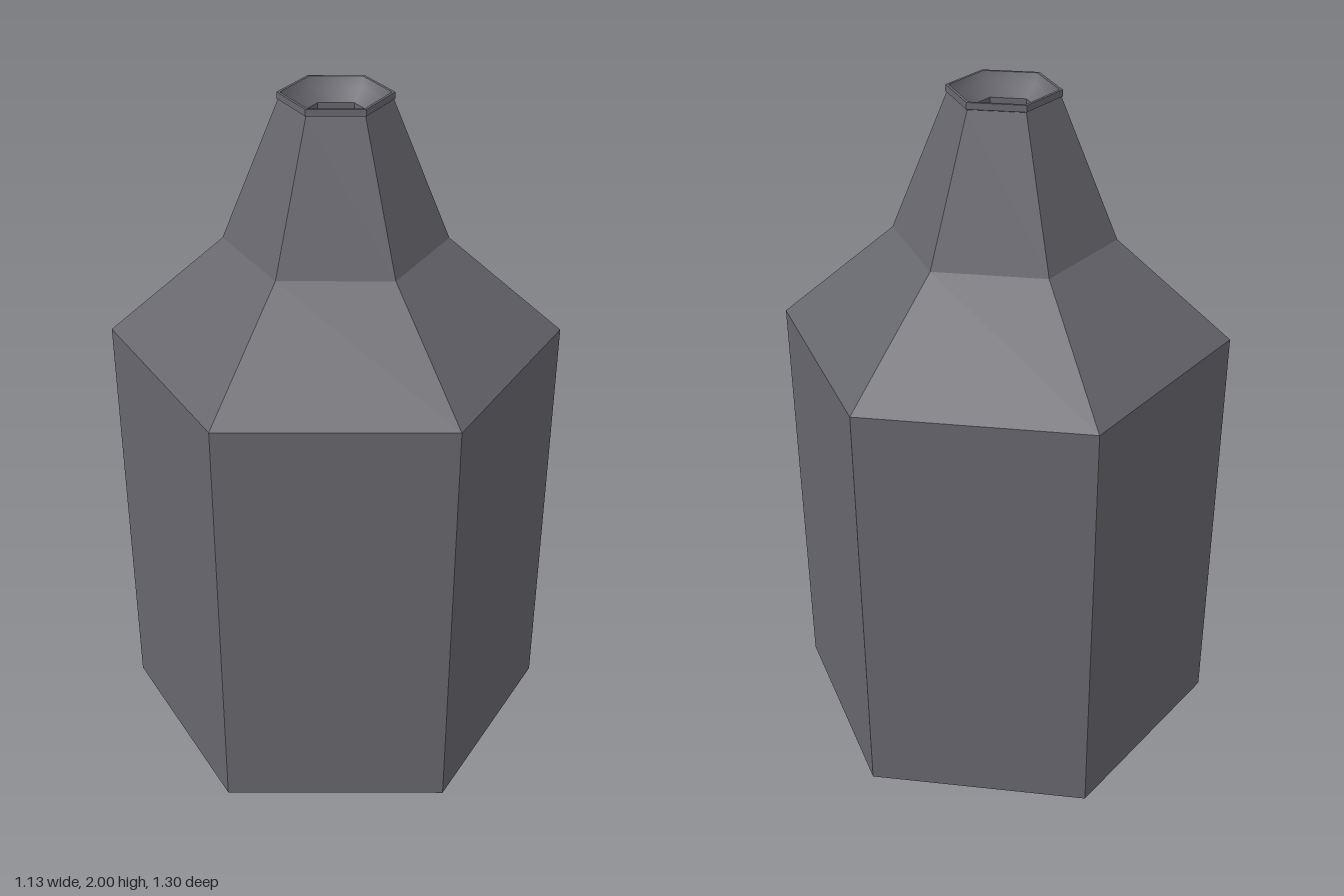
import * as THREE from 'three';
import { toCreasedNormals } from 'three/addons/utils/BufferGeometryUtils.js';

const SIDES = 6;

export function createModel() {
  const model = new THREE.Group();
  model.name = 'bottle';

  const darkGrey = new THREE.MeshStandardMaterial({ color: 0x66666d });
  darkGrey.name = 'darkGrey';

  // Six-sided ring from [radius, height] points; faceted or smooth
  function addRing(name, points, faceted = true) {
    const profile = points.map(([r, y]) => new THREE.Vector2(r, y));
    let geometry = new THREE.LatheGeometry(profile, SIDES);
    if (faceted) geometry = toCreasedNormals(geometry, 0.1);
    const mesh = new THREE.Mesh(geometry, darkGrey);
    mesh.name = name;
    model.add(mesh);
  }

  // Flat hexagonal disc facing up or down
  function addDisc(name, radius, y, up) {
    const geometry = new THREE.CircleGeometry(radius, SIDES, Math.PI / 2);
    geometry.rotateX(up ? -Math.PI / 2 : Math.PI / 2);
    const mesh = new THREE.Mesh(geometry, darkGrey);
    mesh.name = name;
    mesh.position.y = y;
    model.add(mesh);
  }

  // Outer shell
  addDisc('base', 0.65, 0, false);
  addRing('body', [[0.65, 0], [0.65, 1.29]]);
  addRing('shoulder', [[0.65, 1.29], [0.317, 1.58]]);
  addRing('neck', [[0.317, 1.58], [0.154, 1.98]]);

  // Lip and the funnel that leads into the mouth
  addRing('lip', [[0.154, 1.98], [0.158, 1.982], [0.157, 2], [0.148, 2]]);
  addRing('funnel', [[0.148, 2], [0.135, 1.975], [0.1, 1.94]], false);

  // Bore of the neck
  addRing('bore', [[0.1, 1.94], [0.1, 1.6]]);
  addDisc('boreFloor', 0.1, 1.6, true);

  return model;
}
